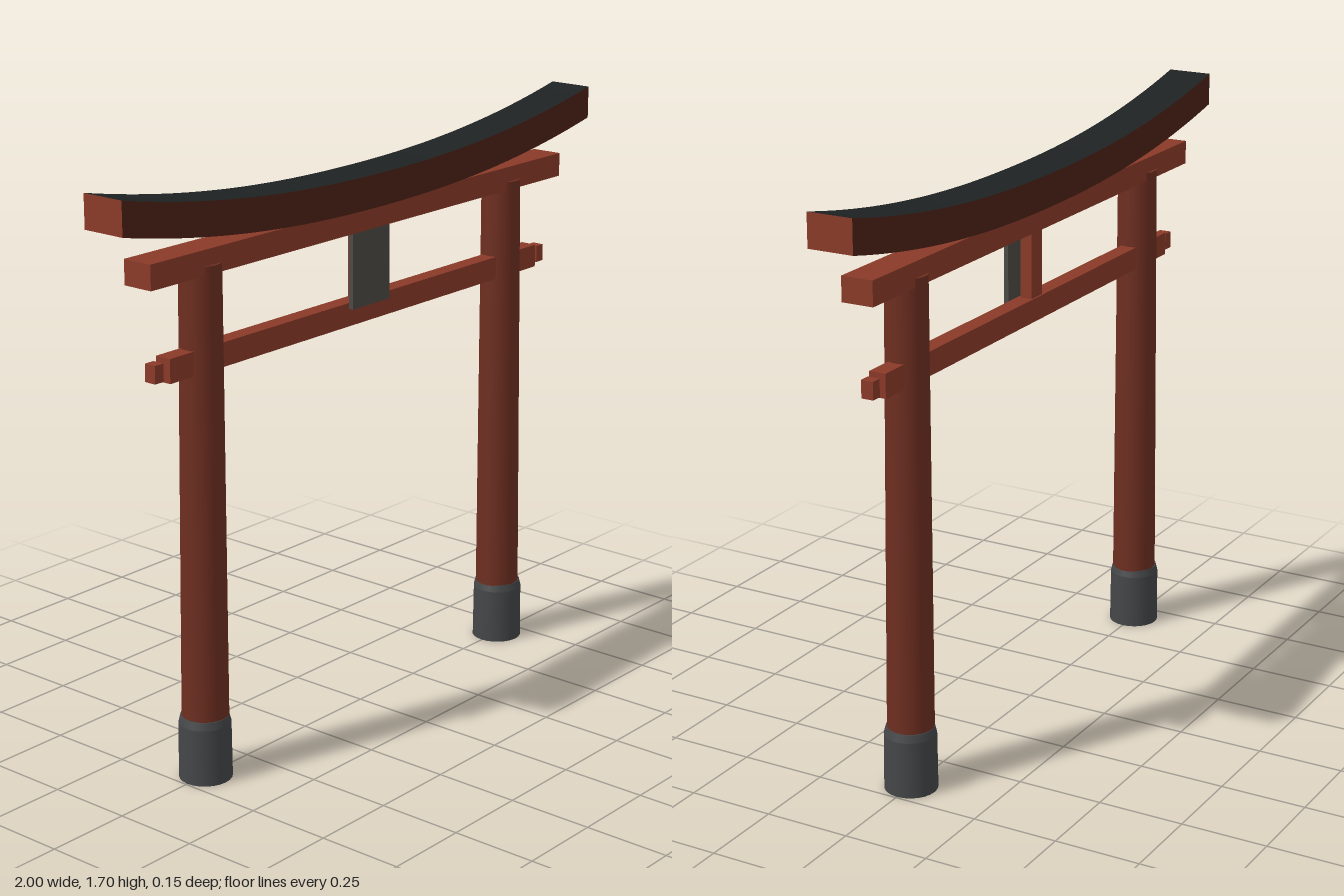
import * as THREE from 'three';

const paint = (color) => new THREE.MeshStandardMaterial({ color });

export function createModel() {
  const model = new THREE.Group();
  model.name = 'gate';

  const red = paint(0x8a3a28);
  const pillarRed = paint(0x6e2e20);
  const shadedRed = paint(0x4e2218);
  const black = paint(0x1e2222);
  const stone = paint(0x444648);
  const bronze = paint(0x4c4a45);

  const add = (name, geometry, material, x = 0, y = 0, z = 0) => {
    const mesh = new THREE.Mesh(geometry, material);
    mesh.name = name;
    mesh.position.set(x, y, z);
    model.add(mesh);
    return mesh;
  };
  const box = (name, w, h, d, material, x, y, z) =>
    add(name, new THREE.BoxGeometry(w, h, d), material, x, y, z);

  // Upswept top lintel: a long box whose ends curve upward, with a dark top face
  const roof = new THREE.BoxGeometry(2, 0.095, 0.134, 48, 1, 1);
  const p = roof.attributes.position;
  for (let i = 0; i < p.count; i++) {
    p.setY(i, p.getY(i) + 0.1 * Math.abs(p.getX(i)) ** 2.2);
  }
  roof.computeVertexNormals();
  add('topLintel', roof, [red, red, black, shadedRed, shadedRed, shadedRed], 0, 1.557, 0);

  // Straight beams
  box('upperBeam', 1.77, 0.07, 0.094, red, 0, 1.48, 0);
  box('lowerBeam', 1.6, 0.068, 0.05, red, 0, 1.208, 0);

  // Centre strut with the blank plaque in front of it
  box('centreStrut', 0.06, 0.22, 0.036, red, 0, 1.345, -0.003);
  box('plaque', 0.16, 0.225, 0.014, bronze, 0, 1.3375, 0.033);

  // Sleeve with a narrow chamfer at its top edge
  const sleeve = new THREE.LatheGeometry([
    [0, 0], [0.075, 0], [0.075, 0], [0.0735, 0.165], [0.0735, 0.165],
    [0.068, 0.187], [0.068, 0.187], [0, 0.187],
  ].map(([r, y]) => new THREE.Vector2(r, y)), 24);

  for (const side of [-1, 1]) {
    const label = side > 0 ? 'left' : 'right';

    // Tapered pillar, leaning slightly inward
    const pillar = new THREE.CylinderGeometry(0.058, 0.067, 1.45, 24);
    pillar.translate(0, 0.725, 0);
    const q = pillar.attributes.position;
    for (let i = 0; i < q.count; i++) {
      q.setX(i, q.getX(i) - side * 0.011 * q.getY(i));
    }
    pillar.computeBoundingSphere();
    add(label + 'Pillar', pillar, pillarRed, side * 0.669, 0.02, 0);

    add(label + 'PillarSleeve', sleeve, stone, side * 0.67, 0, 0);

    // Small end block beyond the lower beam
    box(label + 'EndBlock', 0.032, 0.05, 0.036, red, side * 0.833, 1.208, 0);
  }

  return model;
}
